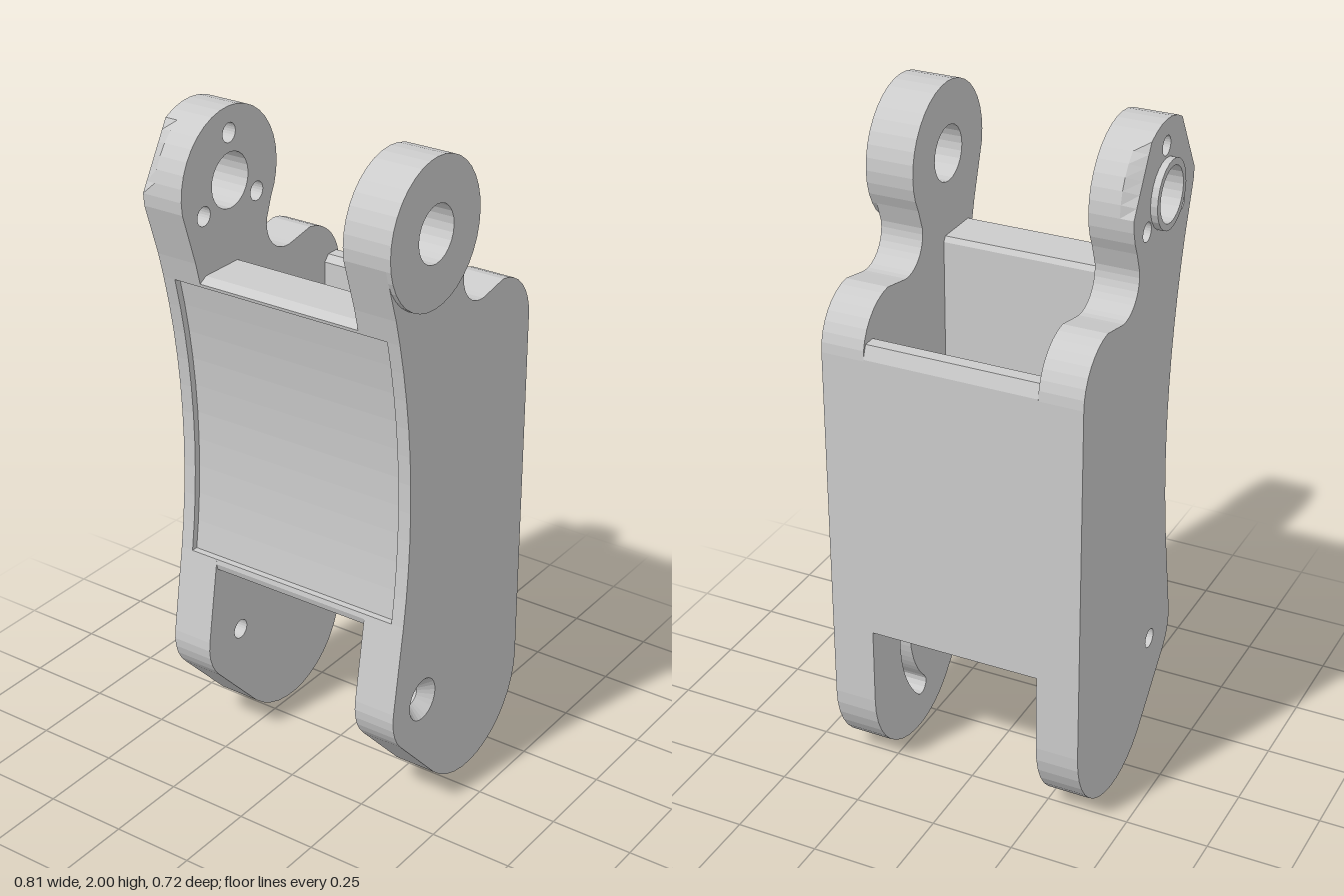
import * as THREE from 'three';

const material = new THREE.MeshStandardMaterial({ color: 0xcccccc, flatShading: true, side: THREE.DoubleSide });
const RAD = Math.PI / 180;
const HEAD = [0.15, 1.79], HEAD_R = 0.21;   // upper eye, as [z, y]
const PIN = [0.15, 0.365];                  // lower pin hole
const RECESS_BOTTOM = 0.655, RECESS_TOP = 1.525;

// Points on an arc in the z-y plane, angles in degrees
function arc([cz, cy], r, from, to, n) {
  const pts = [];
  for (let i = 0; i <= n; i++) {
    const a = (from + (to - from) * i / n) * RAD;
    pts.push([cz + r * Math.cos(a), cy + r * Math.sin(a)]);
  }
  return pts;
}

// Hollow front edge going up, optionally sunk by a shallow recess
function frontEdge(y0, y1, recess) {
  const z = y => 0.227 + 0.225 * (y - 1) ** 2;
  const pts = [[z(y0), y0]];
  if (recess) pts.push([z(RECESS_BOTTOM), RECESS_BOTTOM]);
  for (let i = 0; i <= 10; i++) {
    const y = RECESS_BOTTOM + (RECESS_TOP - RECESS_BOTTOM) * i / 10;
    pts.push([z(y) - recess, y]);
  }
  if (recess) pts.push([z(RECESS_TOP), RECESS_TOP]);
  pts.push([z(y1), y1]);
  return pts;
}

// Outline of a side plate
function plateOutline(recess) {
  return [
    ...frontEdge(0.6, 1.6, recess),
    ...arc(HEAD, HEAD_R, -10, 210, 22),
    ...arc([-0.105, 1.61], 0.095, 10, -105, 10),
    ...arc([-0.2, 1.375], 0.16, 95, 180, 8),
    ...arc([-0.1, 0.26], 0.26, 180, 314, 14),
    ...arc(PIN, 0.15, 316, 370, 5),
  ];
}

const toPath = (pts, Type = THREE.Path) => new Type(pts.map(p => new THREE.Vector2(...p)));
const circle = (c, r) => toPath(arc(c, r, 0, 345, 23));

// Extrudes a z-y outline between two x positions
function slab(name, outline, holes, x0, x1) {
  const shape = toPath(outline, THREE.Shape);
  shape.holes = holes;
  const geometry = new THREE.ExtrudeGeometry(shape, { depth: x1 - x0, bevelEnabled: false });
  geometry.rotateY(-Math.PI / 2).translate(x1, 0, 0);
  const mesh = new THREE.Mesh(geometry, material);
  mesh.name = name;
  return mesh;
}

// Cuts flat chamfers on the outer rim of the head at the given angles
function chamferHead(geometry, outerX, angles) {
  const pos = geometry.attributes.position;
  for (let i = 0; i < pos.count; i++) {
    if (Math.abs(pos.getX(i) - outerX) > 1e-4) continue;
    for (const angle of angles) {
      const c = Math.cos(angle * RAD), s = Math.sin(angle * RAD);
      const dz = pos.getZ(i) - HEAD[0], dy = pos.getY(i) - HEAD[1];
      const over = dz * c + dy * s - HEAD_R * Math.cos(30 * RAD);
      if (over > 0 && Math.hypot(dz, dy) < 0.215) {
        pos.setZ(i, pos.getZ(i) - over * c);
        pos.setY(i, pos.getY(i) - over * s);
      }
    }
  }
  geometry.computeVertexNormals();
}

export function createModel() {
  const model = new THREE.Group();
  const sunk = plateOutline(0.02), full = plateOutline(0);

  // Left plate: guide slot inside, countersunk pin hole and round boss outside
  const left = new THREE.Group();
  left.name = 'leftPlate';
  const slot = toPath([
    ...arc(PIN, 0.35, 165, 225, 12),
    ...arc([PIN[0] + 0.32 * Math.cos(225 * RAD), PIN[1] + 0.32 * Math.sin(225 * RAD)], 0.03, 255, 375, 4),
    ...arc(PIN, 0.29, 225, 165, 12),
    ...arc([PIN[0] + 0.32 * Math.cos(165 * RAD), PIN[1] + 0.32 * Math.sin(165 * RAD)], 0.03, 15, 135, 4),
  ]);
  left.add(slab('leftInnerPlate', sunk, [circle(HEAD, 0.082), circle(PIN, 0.03), slot], 0.26, 0.35));
  left.add(slab('leftOuterPlate', full, [circle(HEAD, 0.082), circle(PIN, 0.065)], 0.35, 0.39));
  left.add(slab('leftBoss', arc(HEAD, HEAD_R, 0, 350, 35), [circle(HEAD, 0.082)], 0.39, 0.405));
  const sink = new THREE.Mesh(new THREE.CylinderGeometry(0.065, 0.03, 0.04, 24, 1, true), material);
  sink.name = 'pinCountersink';
  sink.rotation.z = -Math.PI / 2;
  sink.position.set(0.37, PIN[1], PIN[0]);
  left.add(sink);
  model.add(left);

  // Right plate: three bolt holes, chamfered head and a small collar
  const right = new THREE.Group();
  right.name = 'rightPlate';
  const rightHoles = () => [circle(HEAD, 0.08), circle(PIN, 0.03),
    ...[90, 210, 330].map(a => circle(arc(HEAD, 0.135, a, a, 1)[0], 0.028))];
  right.add(slab('rightInnerPlate', sunk, rightHoles(), -0.35, -0.26));
  const outer = slab('rightOuterPlate', full, rightHoles(), -0.39, -0.35);
  chamferHead(outer.geometry, -0.39, [30, 150]);
  right.add(outer);
  right.add(slab('rightCollar', arc(HEAD, 0.1, 0, 345, 23), [circle(HEAD, 0.08)], -0.41, -0.39));
  model.add(right);

  // Cross panels joining the plates
  model.add(slab('frontPanel', [
    [0.115, 0.64], [0.13, 0.62], [0.25, 0.62],
    ...frontEdge(0.64, 1.535, 0.02),
    [0.265, 1.55], [0.125, 1.55], [0.115, 1.535],
  ], [], -0.26, 0.26));
  model.add(slab('backPanel', [
    [-0.36, 0.5], [-0.34, 0.5], [-0.287, 0.55], [-0.287, 1.4],
    [-0.305, 1.42], [-0.345, 1.42], [-0.36, 1.38],
  ], [], -0.26, 0.26));

  return model;
}
